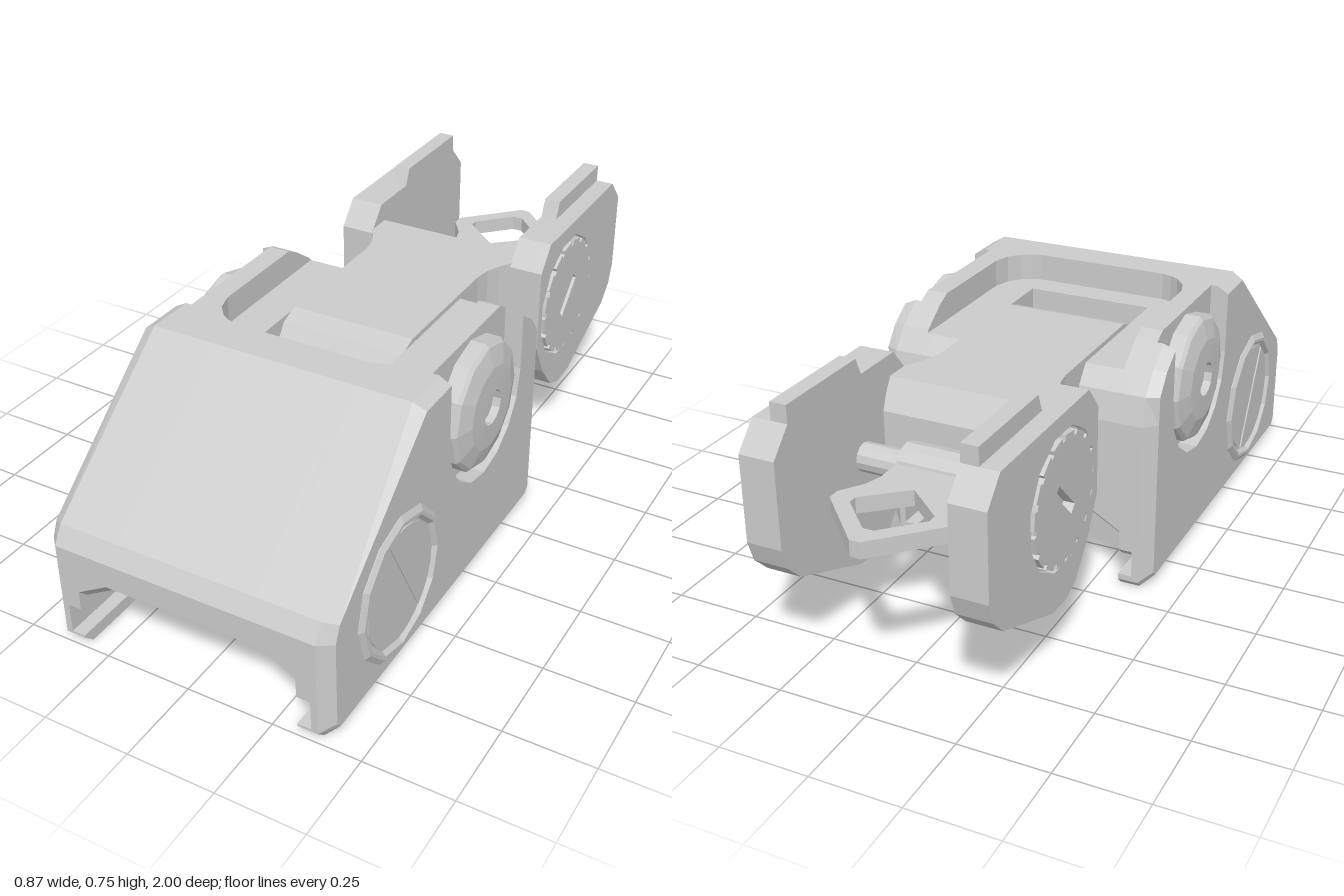
import * as THREE from 'three';

const mat = new THREE.MeshStandardMaterial({ color: 0xcccccc, flatShading: true, side: THREE.DoubleSide });

// Skin closed sections [{ d, p: [[u, v], ...] }] stacked along local z, with capped ends.
function loft(sections) {
  const pos = [];
  const vert = (s, i) => pos.push(s.p[i][0], s.p[i][1], s.d);
  for (let k = 0; k < sections.length - 1; k++) {
    const a = sections[k], b = sections[k + 1], n = a.p.length;
    for (let i = 0; i < n; i++) {
      const j = (i + 1) % n;
      vert(a, i); vert(a, j); vert(b, j);
      vert(a, i); vert(b, j); vert(b, i);
    }
  }
  const cap = (s, flip) => {
    const pts = s.p.map(([u, v]) => new THREE.Vector2(u, v));
    for (const t of THREE.ShapeUtils.triangulateShape(pts, []))
      for (const i of flip ? [t[2], t[1], t[0]] : t) vert(s, i);
  };
  cap(sections[0], true);
  cap(sections[sections.length - 1], false);
  const g = new THREE.BufferGeometry();
  g.setAttribute('position', new THREE.Float32BufferAttribute(pos, 3));
  g.computeVertexNormals();
  return g;
}

const shapeOf = (pts) => new THREE.Shape(pts.map(([u, v]) => new THREE.Vector2(u, v)));
const ring = (cu, cv, r, n, a0 = 0) => Array.from({ length: n }, (_, i) => {
  const a = a0 + (i * 2 * Math.PI) / n;
  return [cu + r * Math.cos(a), cv + r * Math.sin(a)];
});

export function createModel() {
  const model = new THREE.Group();
  const add = (name, geo) => {
    const m = new THREE.Mesh(geo, mat);
    m.name = name;
    model.add(m);
    return m;
  };
  // Side profiles use u = -z, v = y and run along x.
  const slab = (name, shape, x0, x1, side) => {
    const g = new THREE.ExtrudeGeometry(shape, { depth: x1 - x0, bevelEnabled: false, curveSegments: 6 });
    const m = add(name, g);
    m.rotation.y = Math.PI / 2;
    m.position.x = side > 0 ? x0 : -x1;
    return m;
  };
  const turned = (name, pts, z, y, side) => {
    const g = new THREE.LatheGeometry(pts.map(([r, h]) => new THREE.Vector2(r, h)), 12);
    const m = add(name, g);
    m.rotation.z = -side * Math.PI / 2;
    m.position.set(0, y, z);
  };

  // Base block: b underside, zr/f recess end and floor, zp/g inner pocket end and floor, ug rear edge of floor
  const rear = [[0.18, 0.5], [0.16, 0.58], [0.11, 0.64], [0.04, 0.69], [0, 0.71]];
  const profile = (b, zr, f, g, ug) => {
    const zp = Math.min(zr, 0.335);
    return [[-0.97, b], [0.16, b], [0.18, b + 0.02],
      ...rear.map(([u, v]) => (v > g ? [ug, g] : [u, v])),
      [-zp, g], [-zp, f], [-zr, f], [-zr, 0.71],
      [-0.53, 0.71], [-0.97, 0.36], [-1, 0.31], [-1, b + 0.03]];
  };
  const wall = (b) => profile(b, 0.31, 0.71, 0.71, 0);
  const recess = (b, zr) => profile(b, zr, 0.63, 0.63, 0.118);
  const half = [
    [0.362, wall(0.095)], [0.323, wall(0.095)], [0.323, wall(0.152)], [0.30, wall(0.166)],
    [0.30, recess(0.166, 0.31)], [0.285, recess(0.175, 0.36)], [0.255, recess(0.192, 0.395)],
    [0.23, recess(0.207, 0.41)], [0.2, recess(0.207, 0.42)], [0.188, recess(0.207, 0.42)],
    [0.188, profile(0.207, 0.42, 0.63, 0.38, 0.18)],
  ];
  add('base', loft([
    ...half.map(([x, p]) => ({ d: -x, p })),
    ...half.slice().reverse().map(([x, p]) => ({ d: x, p })),
  ])).rotation.y = Math.PI / 2;

  // Chamfered side plates with a U notch around the pivot bolt
  const notch = Array.from({ length: 9 }, (_, i) => {
    const a = -i * Math.PI / 8;
    return [-0.175 + 0.215 * Math.cos(a), 0.51 + 0.215 * Math.sin(a)];
  });
  const full = [[-0.97, 0], [0.16, 0], [0.18, 0.02], [0.18, 0.5], [0.16, 0.58], [0.11, 0.64], [0.04, 0.69],
    ...notch, [-0.39, 0.71], [-0.53, 0.71], [-0.97, 0.36], [-1, 0.31], [-1, 0.03]];
  const inset = [[-0.95, 0.03], [0.13, 0.03], [0.145, 0.045], [0.145, 0.5], [0.143, 0.58], [0.1, 0.635], [0.04, 0.675],
    ...notch, [-0.39, 0.69], [-0.522, 0.69], [-0.945, 0.345], [-0.965, 0.3], [-0.965, 0.05]];
  const plate = [{ d: 0.362, p: full }, { d: 0.38, p: full }, { d: 0.415, p: inset }];

  // Sight wing outline
  const wing = [[0.36, 0.38], [0.42, 0.27], [0.49, 0.19], [0.55, 0.165], [0.63, 0.17], [0.9, 0.28], [0.95, 0.33],
    [0.97, 0.39], [0.97, 0.63], [0.905, 0.7], [0.42, 0.7], [0.36, 0.63]];
  const knob = [0.57, 0.465];

  for (const side of [1, -1]) {
    const tag = side > 0 ? 'left' : 'right';
    const parts = side > 0 ? plate : plate.map((s) => ({ d: -s.d, p: s.p })).reverse();
    add(tag + 'SidePlate', loft(parts)).rotation.y = Math.PI / 2;

    // Rail clamp lip
    slab(tag + 'ClampLip', shapeOf([[-0.97, 0], [0.16, 0], [0.18, 0.02], [0.18, 0.037], [-1, 0.037], [-1, 0.03]]),
      0.323, 0.364, side);

    // Pivot bolt with a socket
    turned(tag + 'PivotBolt', [[0.185, 0.35], [0.185, 0.405], [0.175, 0.415], [0.12, 0.431], [0.05, 0.433],
      [0.05, 0.41], [0, 0.41]], 0.175, 0.51, side);

    // Slotted clamp screw inside a raised ring
    turned(tag + 'ScrewRing', [[0.21, 0.38], [0.21, 0.417], [0.195, 0.427], [0.185, 0.427], [0.167, 0.406],
      [0, 0.406]], 0.655, 0.255, side);
    const a0 = Math.asin(0.0225 / 0.165);
    for (const turn of [0, Math.PI]) {
      const dir = turn - 1.08;
      const s = new THREE.Shape().absarc(-0.655, 0.255, 0.165, dir + a0, dir + Math.PI - a0);
      slab(tag + 'ScrewHead', s, 0.4, 0.419, side);
    }

    // Protective wing: inner plate, outer plate with a round seat, top rail
    slab(tag + 'WingInner', shapeOf(wing), 0.23, 0.305, side);
    const outer = shapeOf(wing);
    outer.holes.push(shapeOf(ring(...knob, 0.19, 12, Math.PI / 12)));
    slab(tag + 'WingOuter', outer, 0.305, 0.33, side);
    slab(tag + 'WingRail', shapeOf([[0.575, 0.69], [0.905, 0.69], [0.905, 0.75], [0.6, 0.75], [0.59, 0.725]]),
      0.23, 0.277, side);

    // Notched adjustment knob with a diagonal slot
    const teeth = [];
    for (let i = 0; i < 16; i++)
      for (const [r, t] of [[0.178, 0], [0.178, 0.72], [0.165, 0.74], [0.165, 0.98]]) {
        const a = ((i + t) * Math.PI) / 8;
        teeth.push([knob[0] + r * Math.cos(a), knob[1] + r * Math.sin(a)]);
      }
    const dial = shapeOf(teeth);
    const c = Math.SQRT1_2;
    dial.holes.push(shapeOf([[-0.065, -0.014], [0.065, -0.014], [0.065, 0.014], [-0.065, 0.014]]
      .map(([p, q]) => [knob[0] + (p - q) * c, knob[1] + (p + q) * c])));
    slab(tag + 'Knob', dial, 0.3, 0.336, side);
  }

  // Folding arm, flaring into the head between the wings: [z, half width, bottom, top]
  const arm = [[-0.49, 0.225, 0.4, 0.56], [-0.44, 0.235, 0.38, 0.64], [-0.37, 0.235, 0.38, 0.64],
    [-0.33, 0.21, 0.38, 0.64], [-0.29, 0.192, 0.38, 0.64], [-0.24, 0.184, 0.38, 0.64], [0.16, 0.184, 0.38, 0.64],
    [0.215, 0.184, 0.39, 0.62], [0.245, 0.184, 0.42, 0.58], [0.26, 0.184, 0.46, 0.53]];
  add('foldingArm', loft(arm.map(([d, w, lo, hi]) => ({ d, p: [[-w, lo], [w, lo], [w, hi], [-w, hi]] }))));

  // Windage shaft and aperture hub
  for (const [name, r, len, z] of [['windageShaft', 0.04, 0.5, -0.585], ['apertureHub', 0.06, 0.22, -0.57]]) {
    const m = add(name, new THREE.CylinderGeometry(r, r, len, 12));
    m.rotation.z = Math.PI / 2;
    m.position.set(0, 0.47, z);
  }

  // Diamond aperture, lying flat
  const leaf = shapeOf([[-0.11, 0.53], [0.11, 0.53], [0.11, 0.7], [0.125, 0.75], [0.167, 0.81], [0.167, 0.845],
    [0.015, 1], [-0.015, 1], [-0.167, 0.845], [-0.167, 0.81], [-0.125, 0.75], [-0.11, 0.7]]);
  leaf.holes.push(shapeOf([[0, 0.725], [0.11, 0.82], [0.11, 0.845], [0.015, 0.94], [-0.015, 0.94],
    [-0.11, 0.845], [-0.11, 0.82]]));
  const aperture = add('aperture', new THREE.ExtrudeGeometry(leaf, { depth: 0.045, bevelEnabled: false }));
  aperture.rotation.x = -Math.PI / 2;
  aperture.position.y = 0.447;

  return model;
}
